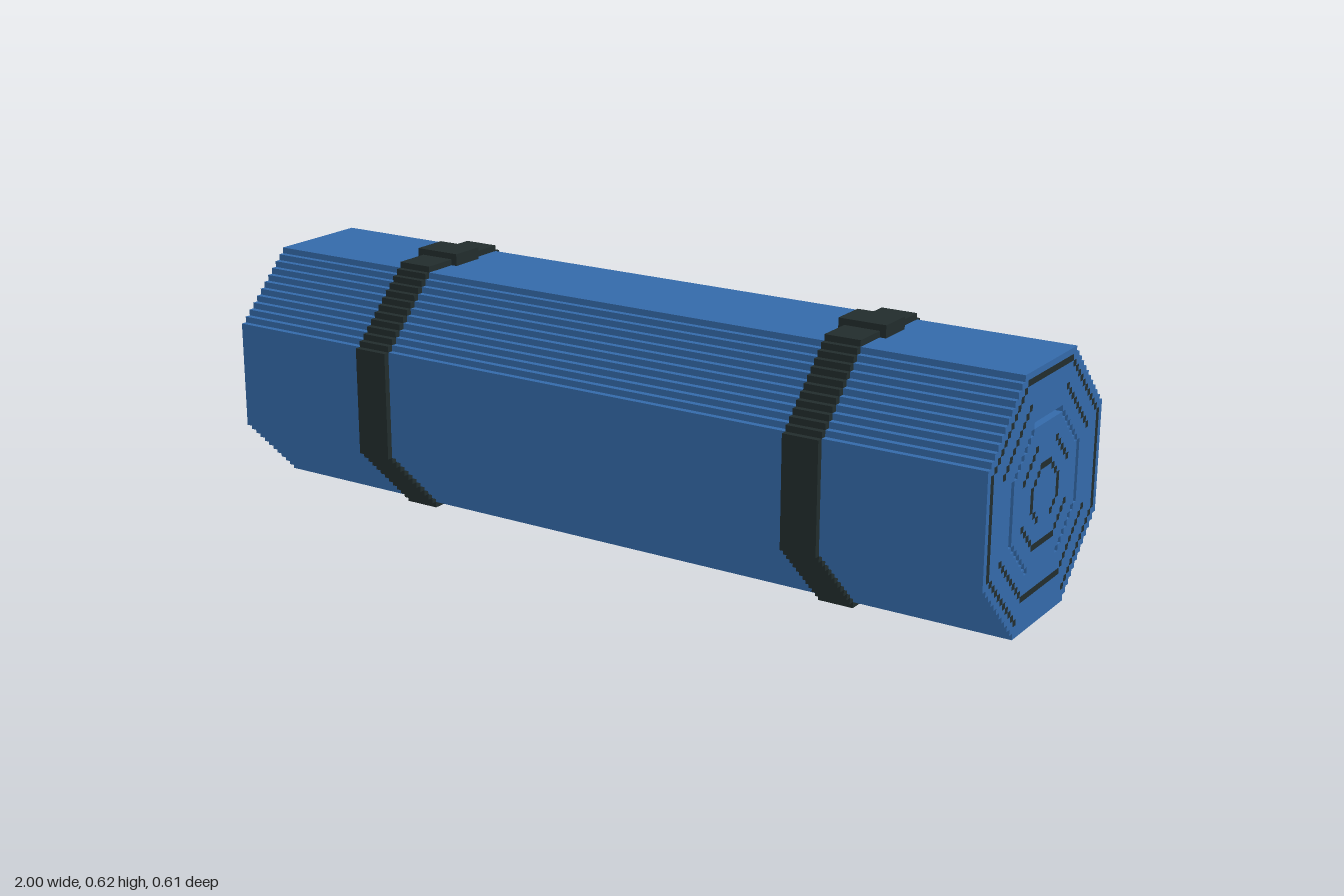
import * as THREE from 'three';

const V = 2 / 138;   // cell size
const N = 42;        // cells across the octagonal section

const blue = new THREE.MeshStandardMaterial({ color: 0x346aaa });
blue.name = 'matBlue';
const dark = new THREE.MeshStandardMaterial({ color: 0x222d2d });
dark.name = 'strapBlack';

// Spiral marks on half the section: [kind, column, row, end column, end row],
// columns counted outwards from the middle, rows from the top
const MARKS = [
  ['mark', 0, 2, 7, 2], ['mark', 8, 3, 17, 12], ['mark', 18, 13, 18, 28], ['mark', 17, 29, 8, 38],
  ['mark', 6, 6, 14, 14], ['mark', 14, 27, 7, 34], ['mark', 6, 35, 0, 35],
  ['gap', 0, 9, 4, 9], ['gap', 5, 10, 10, 15], ['gap', 11, 16, 11, 25], ['gap', 10, 26, 5, 31],
  ['mark', 3, 13, 7, 17], ['mark', 7, 24, 4, 27], ['mark', 3, 28, 0, 28],
  ['mark', 0, 16, 1, 16], ['mark', 2, 17, 3, 18], ['mark', 4, 19, 4, 22], ['mark', 3, 23, 2, 24],
];
const marks = new Map();
for (const [kind, c0, r0, c1, r1] of MARKS) {
  const steps = Math.max(Math.abs(c1 - c0), Math.abs(r1 - r0));
  for (let k = 0; k <= steps; k++) {
    const c = c0 + Math.sign(c1 - c0) * k, r = r0 + Math.sign(r1 - r0) * k;
    marks.set(c + ',' + r, kind);
  }
}

// What fills a cell of the section: roll, mark, gap, strap or empty
function cellAt(j, r) {
  const c = j >= 0 ? j : -1 - j;
  const m = Math.min(r, N - 1 - r);
  if (m >= 1 && c < Math.min(20, 8 + m)) return marks.get(c + ',' + r) || 'roll';
  return m >= 0 && c < Math.min(21, 9 + m) ? 'strap' : 'empty';
}

// Extrude all cells of one kind along x, skipping faces against covered cells
function extrudeCells(kind, x0, x1, covered) {
  const pos = [];
  const quad = (a, b, c, d) => pos.push(...a, ...b, ...c, ...a, ...c, ...d);
  for (let r = 0; r < N; r++) {
    for (let j = -N / 2; j < N / 2; j++) {
      if (cellAt(j, r) !== kind) continue;
      const y0 = (N - 1 - r) * V, y1 = y0 + V, z0 = j * V, z1 = z0 + V;
      const open = (dj, dr) => !covered.includes(cellAt(j + dj, r + dr));
      quad([x1, y0, z0], [x1, y1, z0], [x1, y1, z1], [x1, y0, z1]);
      quad([x0, y0, z1], [x0, y1, z1], [x0, y1, z0], [x0, y0, z0]);
      if (open(0, -1)) quad([x0, y1, z0], [x0, y1, z1], [x1, y1, z1], [x1, y1, z0]);
      if (open(0, 1)) quad([x1, y0, z0], [x1, y0, z1], [x0, y0, z1], [x0, y0, z0]);
      if (open(1, 0)) quad([x0, y0, z1], [x1, y0, z1], [x1, y1, z1], [x0, y1, z1]);
      if (open(-1, 0)) quad([x0, y1, z0], [x1, y1, z0], [x1, y0, z0], [x0, y0, z0]);
    }
  }
  const geo = new THREE.BufferGeometry();
  geo.setAttribute('position', new THREE.Float32BufferAttribute(pos, 3));
  geo.computeVertexNormals();
  return geo;
}

export function createModel() {
  const model = new THREE.Group();
  model.name = 'rolledMat';
  const add = (name, geo, mat) => {
    const mesh = new THREE.Mesh(geo, mat);
    mesh.name = name;
    model.add(mesh);
    return mesh;
  };

  // Rolled mat with an open gap between its layers, and dark spiral lines
  add('roll', extrudeCells('roll', -1, 1, ['roll', 'mark']), blue);
  add('spiralLines', extrudeCells('mark', -1, 1, ['roll', 'mark']), dark);

  // Two straps, each with a buckle on top
  for (const [side, x] of [['left', 40 * V], ['right', -40 * V]]) {
    add(side + 'Strap', extrudeCells('strap', x - 3 * V, x + 3 * V, ['roll', 'mark', 'strap']), dark);
    const buckle = add(side + 'Buckle', new THREE.BoxGeometry(8 * V, 2 * V, 6 * V), dark);
    buckle.position.set(x, N * V, 0);
  }
  return model;
}
